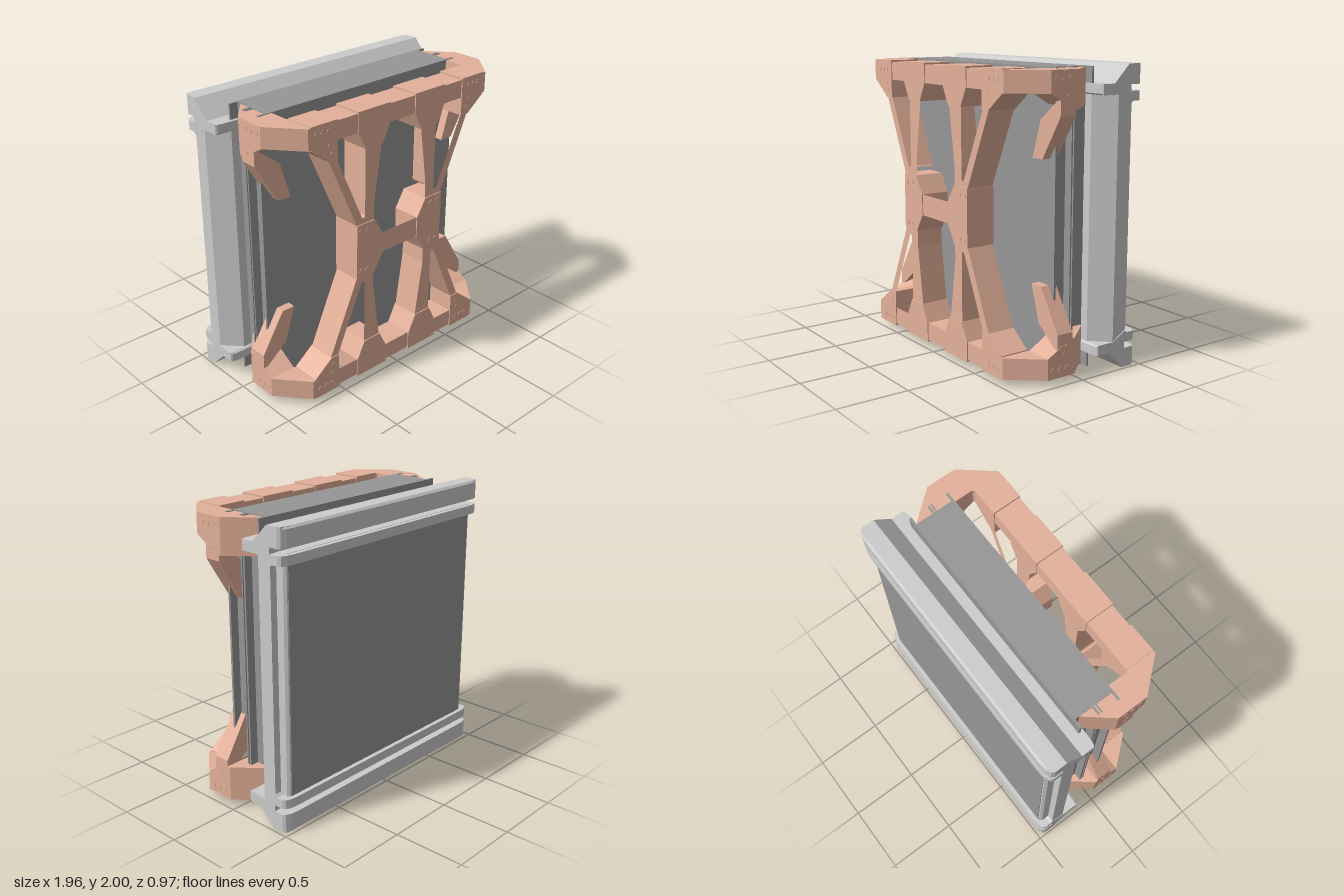
import * as THREE from 'three';

const copper = new THREE.MeshStandardMaterial({ color: 0xe3b099 });
const grey = new THREE.MeshStandardMaterial({ color: 0xcccccc });
const dark = new THREE.MeshStandardMaterial({ color: 0x969696 });

const SIDES = [-1, 1];
const QUARTERS = [[1, 1], [-1, 1], [-1, -1], [1, -1]];
const flip = (pts, sx, sy = 1) => pts.map(([x, y]) => [x * sx, y * sy]);
const toShape = pts => new THREE.Shape(pts.map(([x, y]) => new THREE.Vector2(x, y)));

// Adds a named mesh to a parent
function add(parent, name, geometry, material, x = 0, y = 0, z = 0) {
  const mesh = new THREE.Mesh(geometry, material);
  mesh.name = name;
  mesh.position.set(x, y, z);
  parent.add(mesh);
  return mesh;
}

// Outline in x, y pushed from z0 to z1, with optional holes
function slab(pts, z0, z1, holes = []) {
  const shape = toShape(pts);
  for (const h of holes) shape.holes.push(new THREE.Path(h.map(([x, y]) => new THREE.Vector2(x, y))));
  return new THREE.ExtrudeGeometry(shape, { depth: z1 - z0, bevelEnabled: false }).translate(0, 0, z0);
}

// Outline in x, z raised from y0 to y1
function plan(pts, y0, y1) {
  const shape = toShape(pts.map(([x, z]) => [x, -z]));
  return new THREE.ExtrudeGeometry(shape, { depth: y1 - y0, bevelEnabled: false })
    .rotateX(-Math.PI / 2).translate(0, y0, 0);
}

// Horizontal edge bar: profile in z, y run along x, ends rounded in plan
function edgeBar(profile) {
  const geo = new THREE.ExtrudeGeometry(toShape(profile.map(([z, y]) => [-z, y])),
    { depth: 2, steps: 20, bevelEnabled: false }).translate(0, 0, -1).rotateY(Math.PI / 2);
  const p = geo.attributes.position;
  for (let i = 0; i < p.count; i++) {
    const x = 0.98 * Math.sin(p.getX(i) * Math.PI / 2);
    const e = Math.min(1, Math.max(0, (Math.abs(x) - 0.89) / 0.09));
    const inset = 1 - Math.sqrt(1 - e * e);
    p.setX(i, x);
    p.setZ(i, Math.min(-0.135 - 0.015 * inset, Math.max(-0.485 + 0.04 * inset, p.getZ(i))));
  }
  geo.computeVertexNormals();
  return geo;
}

function buildFrame() {
  const frame = new THREE.Group();
  frame.name = 'frontFrame';
  frame.position.set(0.01, 1.013, 0);

  // Open lattice with a central crossbar
  const corner = [[0.76, 0.96], [0.76, 0.82], [0.618, 0.712], [0.388, 0.197]];
  const outline = QUARTERS.flatMap(([sx, sy]) => {
    const pts = flip(corner, sx, sy);
    return sx * sy > 0 ? pts : pts.reverse();
  });
  // corners run clockwise: right top, right bottom, left bottom, left top
  const ring = [...outline.slice(0, 4), ...outline.slice(12), ...outline.slice(8, 12), ...outline.slice(4, 8)];
  const half = [[0.115, 0.836], [0.178, 0.712], [0.237, 0.307], [0.237, 0.197], [0.163, 0.073]];
  const middle = [...half, ...flip(half, -1).reverse()];
  const vent = [[0.38, 0.836], [0.554, 0.836], [0.554, 0.712], [0.346, 0.25], [0.338, 0.237],
    [0.324, 0.237], [0.316, 0.25], [0.316, 0.712]];
  const holes = [middle, flip(middle, 1, -1), ...QUARTERS.map(([sx, sy]) => flip(vent, sx, sy))];
  add(frame, 'lattice', slab(ring, 0.28, 0.475, holes), copper);

  // Slightly raised reinforcement blocks
  const railBlock = [[0.112, 0.972], [0.112, 0.838], [0.176, 0.712], [0.318, 0.712], [0.382, 0.838], [0.382, 0.972]];
  const cornerBlock = [[0.552, 0.972], [0.552, 0.712], [0.619, 0.711], [0.761, 0.82], [0.761, 0.972]];
  const hub = [[0.39, 0.197], [0.236, 0.197], [0.161, 0.073], [0.161, -0.073], [0.236, -0.197], [0.39, -0.197]];
  for (const s of SIDES) add(frame, 'hubBlock', slab(flip(hub, s), 0.275, 0.482), copper);

  // Corner arm footprint in three parts, and the claw below it
  const armFront = [[0.75, 0.482], [0.78, 0.482], [0.963, 0.265], [0.77, 0.265], [0.75, 0.28]];
  const armMiddle = [[0.77, 0.265], [0.963, 0.265], [0.963, 0.07], [0.77, 0.07]];
  const armBack = [[0.77, 0.07], [0.963, 0.07], [0.963, 0.05], [0.8, -0.145], [0.77, -0.145]];
  const claw = [[0.962, 0.81], [0.962, 0.685], [0.79, 0.407], [0.692, 0.407], [0.77, 0.655], [0.93, 0.78]];

  for (const [sx, sy] of QUARTERS) {
    const q = new THREE.Group();
    q.name = 'corner';
    frame.add(q);
    add(q, 'railBlock', slab(flip(railBlock, sx, sy), 0.275, 0.482), copper);
    add(q, 'cornerBlock', slab(flip(cornerBlock, sx, sy), 0.275, 0.482), copper);

    const arm = (pts, low) => plan(flip(pts, sx), Math.min(low * sy, 0.967 * sy), Math.max(low * sy, 0.967 * sy));
    add(q, 'armFront', arm(armFront, 0.827), copper);
    add(q, 'armBack', arm(armBack, 0.725), copper);
    // The middle part deepens towards the back
    const wedge = arm(armMiddle, 0.827);
    const p = wedge.attributes.position;
    for (let i = 0; i < p.count; i++) {
      if (Math.abs(p.getY(i)) < 0.9 && p.getZ(i) < 0.1) p.setY(i, 0.71 * sy);
    }
    wedge.computeVertexNormals();
    add(q, 'armMiddle', wedge, copper);
    add(q, 'claw', slab(flip(claw, sx, sy), 0.07, 0.19), copper);

    // Bolt heads on the front face
    const bolts = [[0.617, 0.913, 0.02], [0.665, 0.913, 0.02], [0.713, 0.913, 0.02], [0.618, 0.82, 0.01],
      [0.6, 0.765, 0.01], [0.295, 0.147, 0.02], [0.353, 0.147, 0.02]];
    for (const [x, y, r] of bolts) {
      add(q, 'frontBolt', new THREE.CylinderGeometry(r, r, 0.008, 16).rotateX(Math.PI / 2), copper, x * sx, y * sy, 0.481);
    }
    // Bolt heads on the outer side
    for (const [z, y, r] of [[0.22, 0.913, 0.02], [0.165, 0.913, 0.02], [0.11, 0.913, 0.02],
      [0.135, 0.81, 0.01], [0.12, 0.765, 0.01]]) {
      add(q, 'sideBolt', new THREE.CylinderGeometry(r, r, 0.008, 16).rotateZ(Math.PI / 2), copper, 0.962 * sx, y * sy, z);
    }
  }
  return frame;
}

function buildPanel() {
  const panel = new THREE.Group();
  panel.name = 'panel';
  panel.position.x = -0.005;

  // Inner core with thin fins along both sides
  add(panel, 'core', new THREE.BoxGeometry(1.6, 1.97, 0.295), dark, 0, 1, -0.02);
  for (const [z, d] of [[0.122, 0.016], [-0.004, 0.01], [-0.026, 0.014], [-0.164, 0.014]]) {
    add(panel, 'fin', new THREE.BoxGeometry(1.72, 1.97, d), dark, 0, 1, z);
  }

  // Rear body with slanted front sides and a stepped back
  const side = [[0.86, -0.155], [0.975, -0.28], [0.975, -0.38], [0.925, -0.38], [0.925, -0.435], [0.91, -0.452]];
  add(panel, 'rearBody', plan([...side, ...flip(side, -1).reverse()], 0.17, 1.83), grey);
  add(panel, 'rearPlate', new THREE.BoxGeometry(1.8, 1.56, 0.01), dark, 0, 1, -0.45);

  // Grooved bars along the upper and lower edges
  const profile = [[-0.36, 2], [-0.47, 2], [-0.485, 1.985], [-0.485, 1.87], [-0.38, 1.87], [-0.38, 1.828],
    [-0.485, 1.828], [-0.485, 1.765], [-0.4, 1.765], [-0.38, 1.75], [-0.28, 1.81], [-0.15, 1.81],
    [-0.135, 1.82], [-0.135, 1.88], [-0.24, 1.88]];
  add(panel, 'upperBar', edgeBar(profile), grey);
  add(panel, 'lowerBar', edgeBar(profile.map(([z, y]) => [z, 2 - y])), grey);
  return panel;
}

export function createModel() {
  const model = new THREE.Group();
  model.name = 'framedPanel';
  model.add(buildPanel(), buildFrame());
  return model;
}
